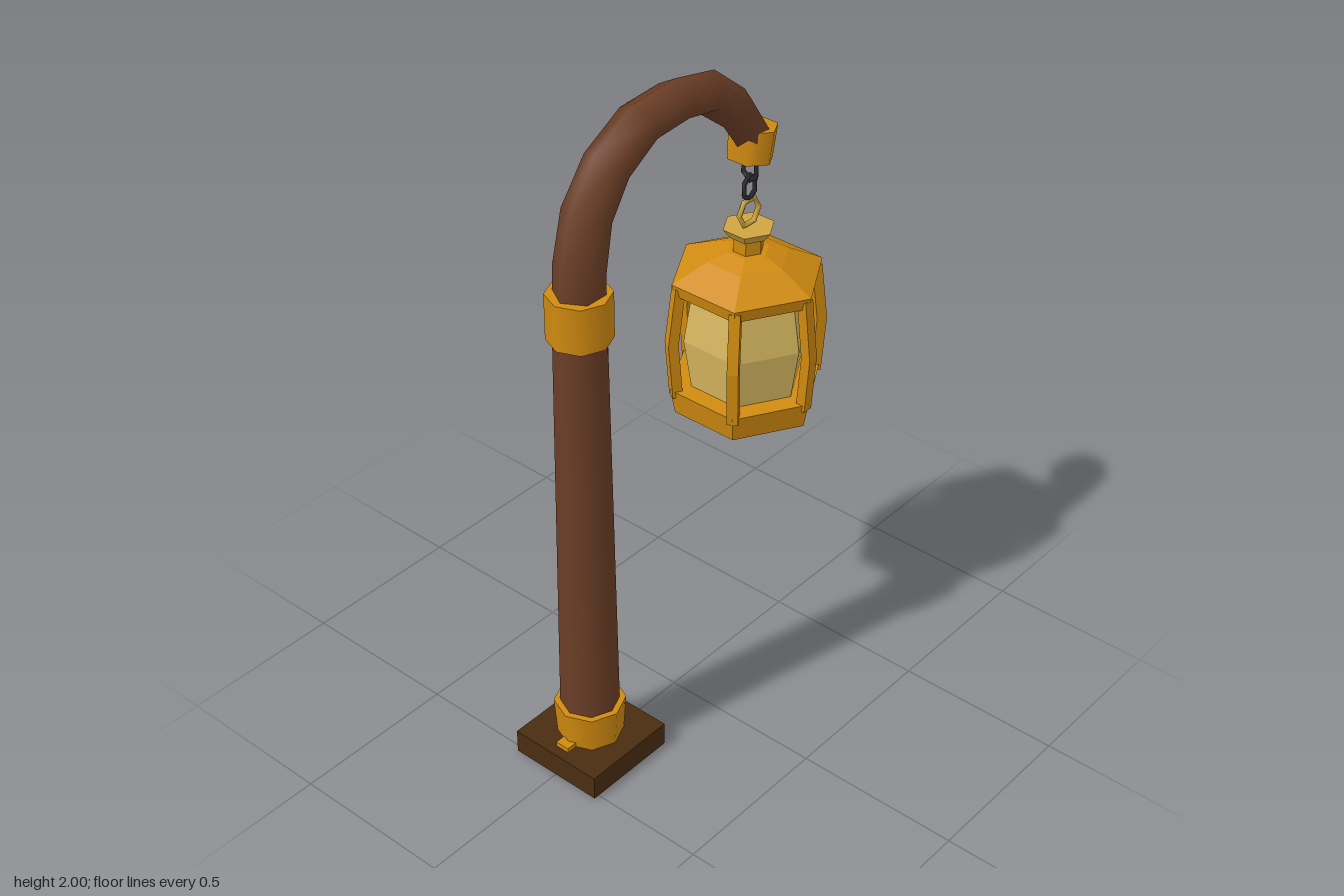
import * as THREE from 'three';
import { mergeVertices } from 'three/addons/utils/BufferGeometryUtils.js';

const paint = (name, color) => {
  const m = new THREE.MeshStandardMaterial({ color });
  m.name = name;
  return m;
};

// Split every face so that each one is flat
const flat = (geometry) => {
  const g = geometry.index ? geometry.toNonIndexed() : geometry;
  g.computeVertexNormals();
  return g;
};

// Six-sided turned solid with corners on the x axis; profile is [radius, y] going up
const hexLathe = (profile) =>
  flat(new THREE.LatheGeometry(profile.map(([r, y]) => new THREE.Vector2(r, y)), 6, Math.PI / 2));

// Tapered six-sided tube along a path of [z, y, radius] rows
function bentTube(path) {
  const rows = path.length - 1;
  let g = new THREE.CylinderGeometry(1, 1, 1, 6, rows, true);
  const p = g.attributes.position;
  for (let i = 0; i < p.count; i++) {
    const k = Math.round((p.getY(i) + 0.5) * rows);
    const a = path[Math.max(k - 1, 0)], b = path[Math.min(k + 1, rows)];
    const [z, y, r] = path[k];
    const len = Math.hypot(b[0] - a[0], b[1] - a[1]);
    const tz = (b[0] - a[0]) / len, ty = (b[1] - a[1]) / len;
    const side = p.getZ(i) * r;
    p.setXYZ(i, p.getX(i) * r, y - tz * side, z + ty * side);
  }
  g.deleteAttribute('uv');
  g.deleteAttribute('normal');
  g = mergeVertices(g);
  g.computeVertexNormals();
  return g;
}

export function createModel() {
  const wood = paint('brown wood', 0x6b3e26);
  const darkWood = paint('dark wood', 0x4a2d10);
  const gold = paint('gold metal', 0xd08a10);
  const paleGold = paint('pale gold', 0xcfa440);
  const glass = paint('amber glass', 0xd8b860);
  const iron = paint('dark iron', 0x2a2a2e);

  const model = new THREE.Group();
  model.name = 'hangingLanternPost';
  const add = (parent, name, geometry, material, x = 0, y = 0, z = 0) => {
    const mesh = new THREE.Mesh(geometry, material);
    mesh.name = name;
    mesh.position.set(x, y, z);
    parent.add(mesh);
    return mesh;
  };

  // Post
  const pz = 0.367;
  add(model, 'base', new THREE.BoxGeometry(0.3, 0.075, 0.3), darkWood, 0, 0.0375, pz);
  add(model, 'baseTabs', new THREE.BoxGeometry(0.044, 0.016, 0.24), gold, 0, 0.082, pz);
  add(model, 'lowerCollar', new THREE.CylinderGeometry(0.103, 0.095, 0.115, 8), gold, 0, 0.132, pz);
  add(model, 'pole', new THREE.CylinderGeometry(0.07, 0.086, 1.44, 8), wood, 0, 0.79, pz);
  add(model, 'upperCollar', new THREE.CylinderGeometry(0.089, 0.089, 0.135, 8), gold, 0, 1.478, pz);

  // Curved arm and its end cap
  add(model, 'arm', bentTube([
    [0.367, 1.5, 0.07], [0.363, 1.61, 0.07], [0.332, 1.752, 0.067], [0.255, 1.86, 0.064],
    [0.135, 1.93, 0.062], [0, 1.939, 0.061], [-0.13, 1.913, 0.06], [-0.24, 1.825, 0.058],
    [-0.312, 1.72, 0.055],
  ]), wood);
  const endCap = add(model, 'armEndCap',
    new THREE.CylinderGeometry(0.071, 0.066, 0.095, 6, 1, false, Math.PI / 2), gold, 0, 1.698, -0.315);
  endCap.rotation.x = -0.13;

  // Lantern hanging from a chain
  const lantern = new THREE.Group();
  lantern.name = 'lantern';
  lantern.position.z = -0.31;
  model.add(lantern);

  const ring = (name, r, tube, material, y, turn, stretch) => {
    const g = new THREE.TorusGeometry(r, tube, 5, 6);
    g.rotateZ(stretch > 1 ? Math.PI / 6 : 0);
    g.scale(1, stretch, 1);
    add(lantern, name, g, material, 0, y, 0).rotation.y = turn;
  };
  ring('upperLink', 0.026, 0.007, iron, 1.62, 0, 1.45);
  ring('lowerLink', 0.026, 0.007, iron, 1.56, Math.PI / 2, 1.4);
  ring('hangingRing', 0.042, 0.008, paleGold, 1.485, Math.PI / 2, 1);

  add(lantern, 'cap', hexLathe([[0, 1.413], [0.055, 1.413], [0.075, 1.441], [0, 1.441]]), paleGold);
  add(lantern, 'neck', hexLathe([[0.044, 1.34], [0.044, 1.415]]), gold);
  add(lantern, 'roof', hexLathe([
    [0, 1.26], [0.214, 1.26], [0.222, 1.296], [0.12, 1.348], [0.06, 1.368], [0, 1.368],
  ]), gold);
  add(lantern, 'glassPanes', hexLathe([[0.162, 0.94], [0.187, 1.105], [0.162, 1.265]]), glass);

  // Hollow lower band with a recessed floor
  add(lantern, 'lowerBand', hexLathe([
    [0, 0.9], [0.185, 0.9], [0.195, 0.872], [0.212, 0.872], [0.227, 0.95], [0, 0.95],
  ]), gold);
  add(lantern, 'finial', hexLathe([[0, 0.829], [0.025, 0.829], [0.058, 0.868], [0.04, 0.905]]), gold);

  // Bowed corner posts
  const outline = [[0.216, 1.285], [0.237, 1.105], [0.224, 0.93], [0.194, 0.93], [0.207, 1.105], [0.186, 1.285]];
  const bow = new THREE.ExtrudeGeometry(
    new THREE.Shape(outline.map(([x, y]) => new THREE.Vector2(x, y))),
    { depth: 0.032, bevelEnabled: false });
  bow.translate(0, 0, -0.016);
  for (let i = 0; i < 6; i++) {
    add(lantern, 'cornerPost', bow, gold).rotation.y = (i * Math.PI) / 3;
  }

  return model;
}
